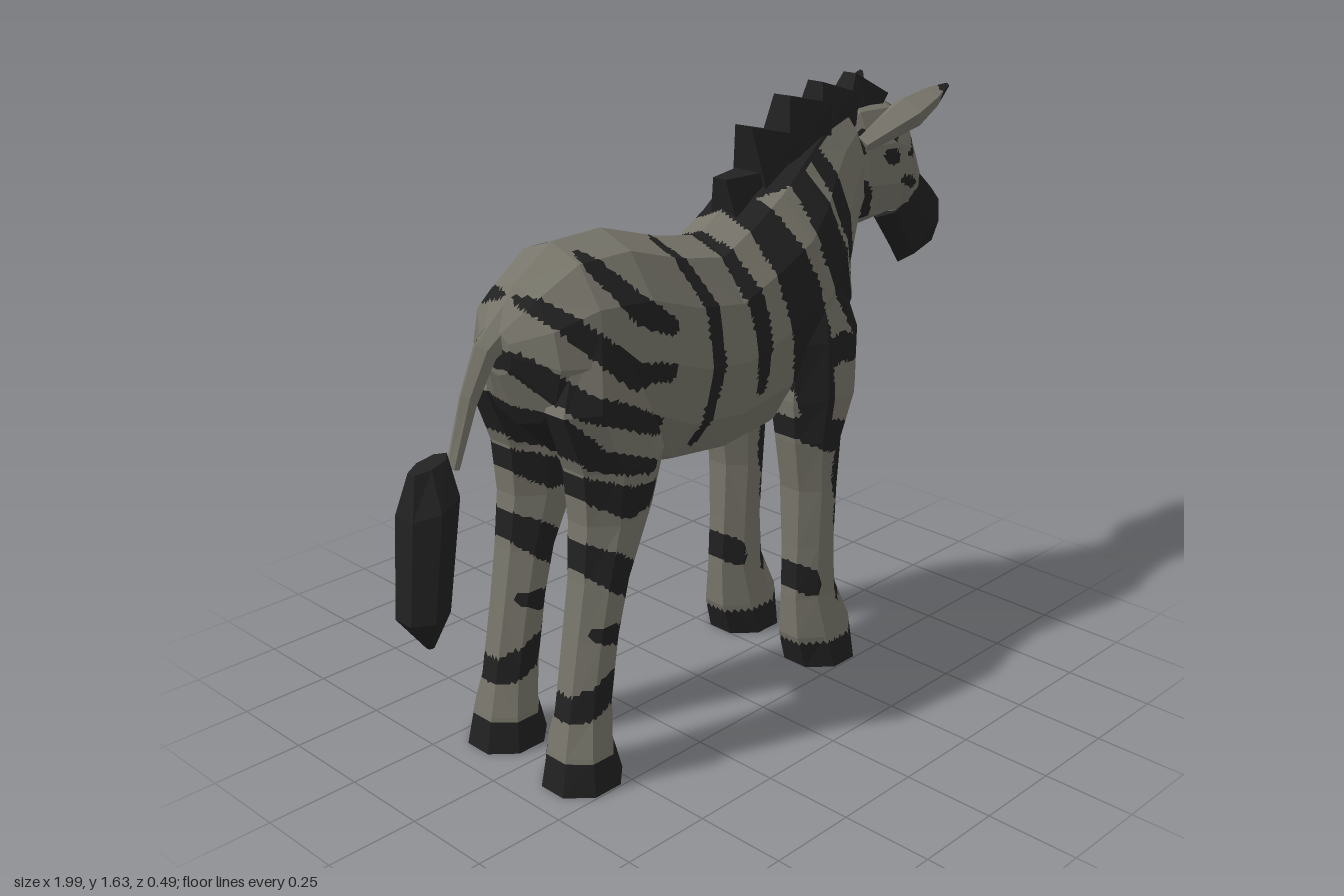
import * as THREE from 'three';

const V = (x, y, z) => new THREE.Vector3(x, y, z);
const hide = new THREE.MeshStandardMaterial({ color: 0x77756a });
hide.name = 'pale hide';
const black = new THREE.MeshStandardMaterial({ color: 0x212121 });
black.name = 'black';

// Polygonal ring around c, spanned by u and v
function ring(c, u, v, sides, phase = 0) {
  return Array.from({ length: sides }, (_, j) => {
    const t = ((j + phase) / sides) * Math.PI * 2;
    return c.clone().addScaledVector(u, Math.cos(t)).addScaledVector(v, Math.sin(t));
  });
}

// Closed skin over a row of rings, as a list of triangles
function loft(rings) {
  const tris = [], n = rings[0].length, last = rings[rings.length - 1];
  const mid = r => r.reduce((s, p) => s.add(p), V(0, 0, 0)).divideScalar(n);
  const m0 = mid(rings[0]), m1 = mid(last);
  for (let j = 0; j < n; j++) {
    const k = (j + 1) % n;
    for (let i = 0; i + 1 < rings.length; i++) {
      const a = rings[i][j], b = rings[i][k], c = rings[i + 1][k], d = rings[i + 1][j];
      tris.push([a, b, c], [a, c, d]);
    }
    tris.push([m0, rings[0][k], rings[0][j]], [m1, last[j], last[k]]);
  }
  return tris;
}

// Rings in the middle plane: [x, y of one edge, x, y of the other edge, half width]
const spine = (rows, sides) => loft(rows.map(([ax, ay, bx, by, w]) =>
  ring(V((ax + bx) / 2, (ay + by) / 2, 0), V((ax - bx) / 2, (ay - by) / 2, 0), V(0, 0, w), sides)));

// Halve the longest edge until the facet is fine enough to carry stripe edges
function split(a, b, c, size, out) {
  const ab = a.distanceTo(b), bc = b.distanceTo(c), ca = c.distanceTo(a);
  if (Math.max(ab, bc, ca) < size) {
    out.push([a, b, c]);
  } else {
    const [p, q, r] = ab >= bc && ab >= ca ? [a, b, c] : bc >= ca ? [b, c, a] : [c, a, b];
    const m = p.clone().lerp(q, 0.5);
    split(p, m, r, size, out);
    split(m, q, r, size, out);
  }
}

// Faceted mesh whose faces are pale or black by a rule on position and normal
function painted(name, tris, isBlack, side = 1, size = 0.019) {
  const parts = [[], []], normal = V(0, 0, 0), tri = new THREE.Triangle();
  for (const t of tris) {
    tri.set(...t).getNormal(normal);
    const small = [];
    split(...t, size, small);
    for (const [a, b, c] of small) {
      const p = a.clone().add(b).add(c).divideScalar(3);
      const order = side > 0 ? [a, b, c] : [a, c, b];
      const list = parts[isBlack(p, normal) ? 1 : 0];
      for (const q of order) list.push(q.x, q.y, q.z * side);
    }
  }
  const geo = new THREE.BufferGeometry();
  geo.setAttribute('position', new THREE.Float32BufferAttribute(parts.flat(), 3));
  geo.addGroup(0, parts[0].length / 3, 0);
  geo.addGroup(parts[0].length / 3, parts[1].length / 3, 1);
  geo.computeVertexNormals();
  const mesh = new THREE.Mesh(geo, [hide, black]);
  mesh.name = name;
  return mesh;
}

// Plain faceted mesh in one colour
function plain(name, tris, material) {
  const geo = new THREE.BufferGeometry().setFromPoints(tris.flat());
  geo.computeVertexNormals();
  const mesh = new THREE.Mesh(geo, material);
  mesh.name = name;
  return mesh;
}

// Stripe: [half width, x, y, x, y, ...]; narrows a little toward its ends
function onStripe(stripes, x, y) {
  return stripes.some(([w, ...p]) => {
    const segs = p.length / 2 - 1;
    for (let i = 0; i < segs; i++) {
      const [ax, ay, bx, by] = p.slice(i * 2, i * 2 + 4);
      const dx = bx - ax, dy = by - ay;
      const t = THREE.MathUtils.clamp(((x - ax) * dx + (y - ay) * dy) / (dx * dx + dy * dy), 0, 1);
      const width = w * (0.75 + 0.4 * Math.sin(((i + t) / segs) * Math.PI));
      if (Math.hypot(x - ax - t * dx, y - ay - t * dy) < width) return true;
    }
    return false;
  });
}

const bodyStripes = [
  [0.03, -0.47, 1.33, -0.38, 1.21, -0.28, 1.15],
  [0.03, -0.62, 1.25, -0.5, 1.13, -0.42, 1.06, -0.3, 1.04],
  [0.028, -0.68, 1.13, -0.58, 1.02, -0.48, 0.98, -0.32, 0.9],
  [0.025, -0.63, 0.98, -0.55, 0.88, -0.4, 0.83],
  [0.022, -0.18, 1.31, -0.12, 1.15, -0.12, 1.0, -0.15, 0.8],
  [0.024, 0, 1.29, 0.05, 1.1, 0.06, 0.9],
  [0.055, 0.12, 1.36, 0.19, 1.15, 0.23, 0.98, 0.25, 0.78],
  [0.045, 0.27, 1.44, 0.33, 1.22, 0.4, 1.05, 0.43, 0.95],
  [0.03, 0.36, 1.48, 0.42, 1.28, 0.49, 1.12],
  [0.035, 0.24, 0.93, 0.33, 0.96, 0.41, 0.93],
  [0.045, 0.1, 1.38, 0.3, 1.48, 0.5, 1.57],
];
// Chevrons on the chest, measured across the body
const chestStripes = [
  [0.025, 0.1, 1.27, 0.06, 1.13, 0, 1.06],
  [0.025, 0.13, 1.15, 0.07, 1.02, 0, 0.96],
  [0.028, 0.18, 1.07, 0.12, 0.95, 0.06, 0.86],
];
const headStripes = [
  [0.02, 0.65, 1.41, 0.69, 1.4], [0.016, 0.57, 1.48, 0.54, 1.41],
  [0.015, 0.76, 1.4, 0.81, 1.42], [0.018, 0.57, 1.34, 0.61, 1.24],
  [0.014, 0.73, 1.33, 0.82, 1.3], [0.015, 0.73, 1.5, 0.68, 1.46],
];
const foreheadStripe = [[0.04, 0, 1.37, 0, 1.44, 0, 1.5]];
const frontLegStripes = [
  ...bodyStripes, [0.04, 0.2, 0.75, 0.3, 0.71, 0.39, 0.69],
  [0.025, 0.33, 0.66, 0.34, 0.52], [0.045, 0.37, 0.52, 0.38, 0.4],
  [0.03, 0.22, 0.31, 0.26, 0.25], [0.022, 0.36, 0.2, 0.4, 0.24],
];
const hindLegStripes = [
  ...bodyStripes, [0.035, -0.58, 0.81, -0.46, 0.75, -0.38, 0.76],
  [0.04, -0.58, 0.63, -0.5, 0.57, -0.42, 0.5], [0.035, -0.64, 0.21, -0.56, 0.25, -0.48, 0.3],
  [0.025, -0.56, 0.42, -0.45, 0.39],
];

// Leg rings from top to hoof: [y, x back, x front, z inner, z outer]
const frontLeg = [
  [1.15, 0.24, 0.38, 0.1, 0.19], [0.98, 0.2, 0.45, 0.06, 0.222], [0.82, 0.19, 0.45, 0.03, 0.232],
  [0.7, 0.2, 0.385, 0.05, 0.225], [0.55, 0.225, 0.375, 0.06, 0.215], [0.38, 0.225, 0.375, 0.07, 0.21],
  [0.22, 0.22, 0.39, 0.075, 0.21], [0.1, 0.22, 0.445, 0.06, 0.23], [0, 0.25, 0.455, 0.05, 0.245],
];
const hindLeg = [
  [1.2, -0.56, -0.38, 0.1, 0.18], [1.0, -0.63, -0.35, 0.06, 0.222], [0.84, -0.57, -0.3, 0.04, 0.23],
  [0.7, -0.56, -0.34, 0.05, 0.22], [0.55, -0.575, -0.42, 0.065, 0.215], [0.4, -0.6, -0.46, 0.07, 0.21],
  [0.2, -0.635, -0.49, 0.075, 0.21], [0.1, -0.66, -0.5, 0.06, 0.23], [0, -0.68, -0.475, 0.05, 0.245],
];
const legSkin = rows => loft(rows.map(([y, x0, x1, z0, z1]) => {
  const k = 0.5 / Math.cos(Math.PI / 8);
  return ring(V((x0 + x1) / 2, y, (z0 + z1) / 2), V((x1 - x0) * k, 0, 0), V(0, 0, (z1 - z0) * k), 8, 0.5);
}));

function earSkin() {
  const base = V(0.57, 1.45, 0.07), tip = V(0.84, 1.59, 0.155);
  const t = tip.clone().sub(base).normalize();
  const u = V(-0.45, 0.9, 0).projectOnPlane(t).normalize();
  const v = t.clone().cross(u);
  return loft([[0, 0.035], [0.55, 0.06], [0.8, 0.04], [1, 0.008]].map(([s, r]) =>
    ring(base.clone().lerp(tip, s), u.clone().multiplyScalar(r * 0.75), v.clone().multiplyScalar(r), 5)));
}

// Swept-back tuft of mane, narrowed at the tip: outline [tip, front top, front base, rear base]
function maneTuft(p, depth) {
  const corners = [0, 2, 4, 6].map(i => [p[i], p[i + 1], (i ? 0.5 : 0.22) * depth]);
  const [near, far] = [1, -1].map(s => corners.map(([x, y, z]) => V(x, y, z * s)));
  return plain('maneTuft', loft([far.reverse(), near.reverse()]), black);
}

export function createModel() {
  const model = new THREE.Group();
  model.name = 'zebra';

  // Body and neck
  const body = spine([
    [-0.69, 1.2, -0.68, 1.08, 0.06], [-0.62, 1.29, -0.62, 0.94, 0.16], [-0.5, 1.37, -0.52, 0.84, 0.2],
    [-0.34, 1.375, -0.34, 0.79, 0.21], [-0.16, 1.32, -0.2, 0.715, 0.2], [0, 1.29, 0, 0.69, 0.19],
    [0.12, 1.36, 0.18, 0.71, 0.2], [0.2, 1.42, 0.38, 0.78, 0.21], [0.27, 1.46, 0.49, 0.93, 0.19],
    [0.36, 1.5, 0.51, 1.03, 0.145], [0.45, 1.54, 0.58, 1.17, 0.105], [0.52, 1.57, 0.62, 1.24, 0.09],
  ], 12);
  model.add(painted('body', body, (p, n) => n.x > 0.6 && p.x > 0.3
    ? onStripe(chestStripes, Math.abs(p.z), p.y) : onStripe(bodyStripes, p.x, p.y)));

  // Head and muzzle
  const head = spine([
    [0.5, 1.5, 0.56, 1.25, 0.07], [0.58, 1.57, 0.58, 1.21, 0.1], [0.7, 1.57, 0.66, 1.2, 0.115],
    [0.79, 1.52, 0.74, 1.21, 0.1], [0.84, 1.43, 0.76, 1.21, 0.085], [0.9, 1.33, 0.76, 1.2, 0.065],
  ], 10);
  model.add(painted('head', head, (p, n) => onStripe(headStripes, p.x, p.y)
    || (n.x > 0.4 && p.x > 0.7 && onStripe(foreheadStripe, p.z, p.y))));
  model.add(plain('muzzle', spine([[0.9, 1.33, 0.74, 1.2, 0.068], [0.998, 1.245, 0.85, 1.045, 0.06],
    [1, 1.24, 0.965, 1.07, 0.045]], 8), black));

  // Legs with hooves, and ears; the animal faces +x, so its left is -z
  for (const [z, label] of [[-1, 'left'], [1, 'right']]) {
    model.add(painted(label + 'FrontLeg', legSkin(frontLeg), p => p.y < 0.08 || onStripe(frontLegStripes, p.x, p.y), z));
    model.add(painted(label + 'HindLeg', legSkin(hindLeg), p => p.y < 0.09 || onStripe(hindLegStripes, p.x, p.y), z));
    model.add(painted(label + 'Ear', earSkin(), p => p.x > 0.8 && p.y > 1.54, z));
  }

  // Mane
  const mane = new THREE.Group();
  mane.name = 'mane';
  [
    [0.08, 1.425, 0.22, 1.43, 0.22, 1.34, 0.1, 1.3], [0.17, 1.55, 0.33, 1.51, 0.33, 1.42, 0.2, 1.36],
    [0.32, 1.61, 0.45, 1.58, 0.45, 1.47, 0.28, 1.42], [0.455, 1.63, 0.57, 1.59, 0.56, 1.5, 0.42, 1.48],
    [0.6, 1.635, 0.71, 1.57, 0.66, 1.51, 0.53, 1.52],
  ].forEach((p, i) => mane.add(maneTuft(p, [0.1, 0.13, 0.13, 0.12, 0.1][i])));
  model.add(mane);

  // Tail and its tuft
  model.add(plain('tail', spine([[-0.64, 1.14, -0.65, 1.25, 0.04], [-0.69, 1.12, -0.74, 1.17, 0.03],
    [-0.75, 1.02, -0.79, 1.06, 0.022], [-0.81, 0.88, -0.84, 0.89, 0.018]], 6), hide));
  model.add(plain('tailTuft', spine([[-0.84, 0.93, -0.95, 0.905, 0.03], [-0.825, 0.85, -0.98, 0.8, 0.078],
    [-0.87, 0.56, -1, 0.54, 0.07], [-0.91, 0.45, -0.93, 0.45, 0.01]], 7), black));
  return model;
}
